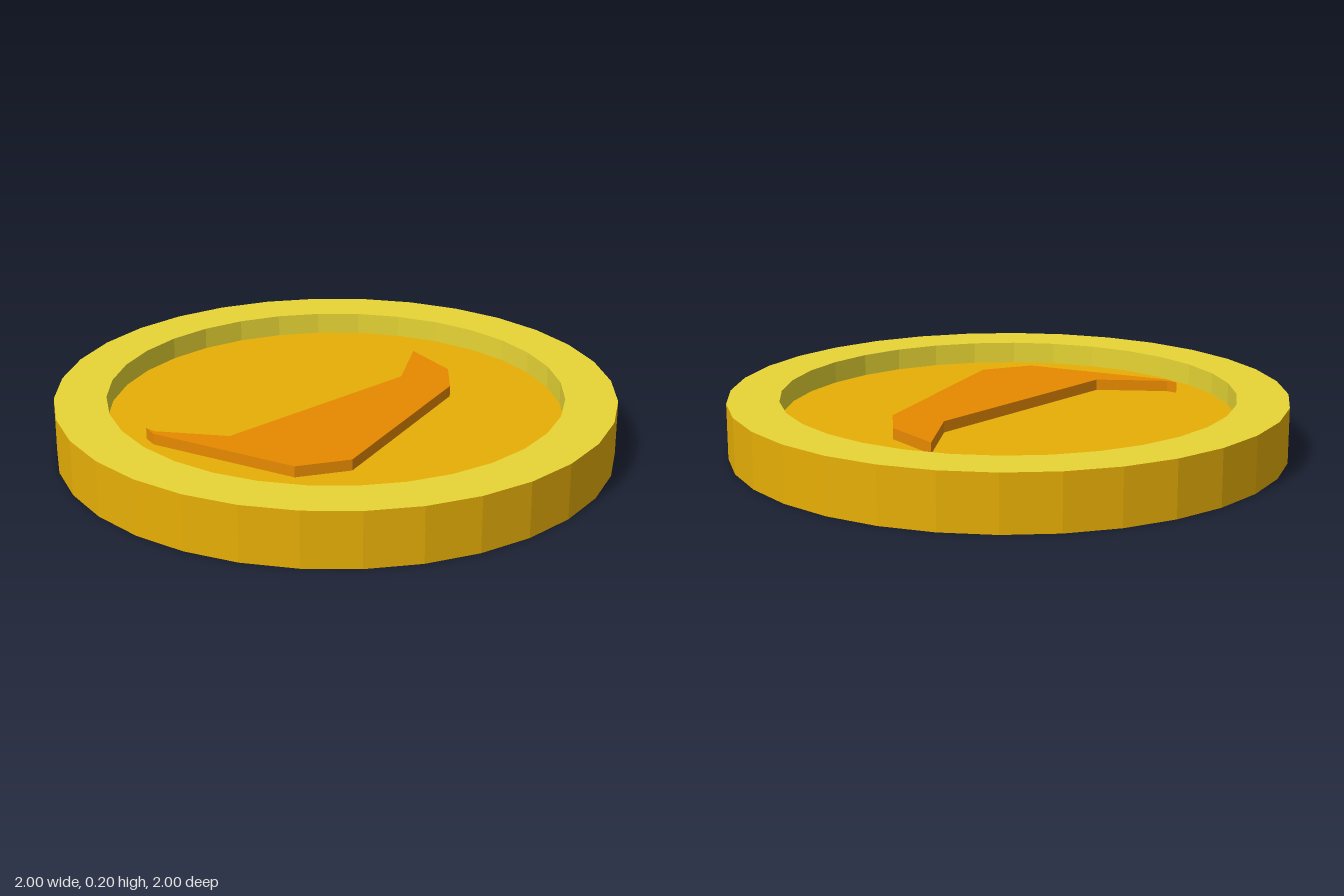
import * as THREE from 'three';

const SIDES = 32;
const RADIUS = 1;
const INNER = 0.815;
const HEIGHT = 0.2;
const DISC_BOTTOM = 0.08;
const DISC_TOP = 0.12;
const RELIEF = 0.04;

// Outline of the raised figure, as x and z on the coin's face
const OUTLINE = [
  [0.02, -0.58], [0.22, -0.47], [0.30, -0.32], [0.30, 0.43], [0.16, 0.57],
  [-0.40, 0.57], [-0.45, 0.54], [-0.41, 0.55], [-0.16, 0.46], [0.10, -0.32],
];

function material(name, color) {
  const m = new THREE.MeshStandardMaterial({ color });
  m.name = name;
  return m;
}

function part(name, geometry, mat) {
  // Separate faces so every facet stays flat
  const flat = geometry.index ? geometry.toNonIndexed() : geometry;
  flat.computeVertexNormals();
  const mesh = new THREE.Mesh(flat, mat);
  mesh.name = name;
  return mesh;
}

function lathe(points) {
  return new THREE.LatheGeometry(points.map(([r, y]) => new THREE.Vector2(r, y)), SIDES);
}

export function createModel() {
  const yellow = material('rim yellow', 0xffeb3b);
  const gold = material('gold', 0xffc107);
  const orange = material('relief orange', 0xff9800);

  const coin = new THREE.Group();
  coin.name = 'coin';

  // Outer edge
  coin.add(part('outerEdge', lathe([[RADIUS, 0], [RADIUS, HEIGHT]]), gold));

  // Raised rim: top ring, inner wall and bottom ring
  coin.add(part('rim', lathe([[RADIUS, HEIGHT], [INNER, HEIGHT], [INNER, 0], [RADIUS, 0]]), yellow));

  // Recessed disc
  const disc = new THREE.CylinderGeometry(INNER, INNER, DISC_TOP - DISC_BOTTOM, SIDES);
  disc.translate(0, HEIGHT / 2, 0);
  coin.add(part('disc', disc, gold));

  // Raised figure on both faces, the second turned over about z
  const shape = new THREE.Shape(OUTLINE.map(([x, z]) => new THREE.Vector2(x, -z)));
  const relief = new THREE.ExtrudeGeometry(shape, { depth: RELIEF, bevelEnabled: false });
  relief.rotateX(-Math.PI / 2);
  relief.translate(0, DISC_TOP - HEIGHT / 2, 0);
  for (const [name, turn] of [['topRelief', 0], ['bottomRelief', Math.PI]]) {
    const mesh = part(name, relief.clone(), orange);
    mesh.position.y = HEIGHT / 2;
    mesh.rotation.z = turn;
    coin.add(mesh);
  }

  return coin;
}
